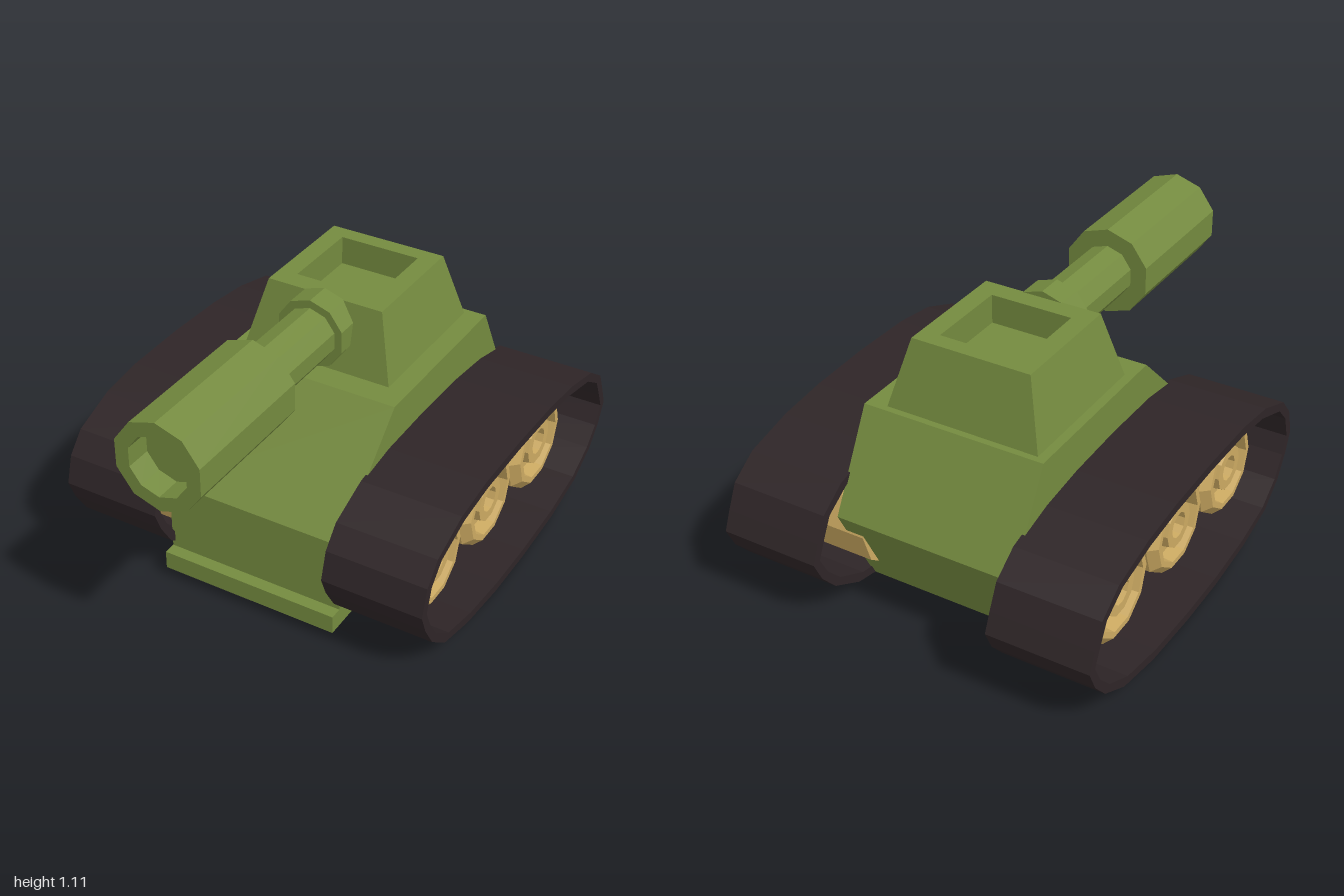
import * as THREE from 'three';

const paint = (color) => new THREE.MeshStandardMaterial({ color, flatShading: true });
const V = (a) => a.map(([x, y]) => new THREE.Vector2(x, y));

// Extrudes a side profile of [z, y] points across the width x0..x1
function sideExtrude(outline, x0, x1, hole) {
  const shape = new THREE.Shape(V(outline));
  if (hole) shape.holes.push(new THREE.Path(V(hole)));
  const geo = new THREE.ExtrudeGeometry(shape, { depth: x1 - x0, bevelEnabled: false });
  return geo.rotateY(-Math.PI / 2).translate(x1, 0, 0);
}

// Joins rectangles [x0, x1, z0, z1, y] from bottom to top, and caps the last
function rectLoft(rects) {
  const loops = rects.map(([x0, x1, z0, z1, y]) => [[x0, y, z1], [x1, y, z1], [x1, y, z0], [x0, y, z0]]);
  const pos = [];
  const quad = (a, b, c, d) => pos.push(...a, ...b, ...c, ...a, ...c, ...d);
  for (let i = 0; i + 1 < loops.length; i++) {
    for (let k = 0; k < 4; k++) {
      const n = (k + 1) % 4;
      quad(loops[i][k], loops[i][n], loops[i + 1][n], loops[i + 1][k]);
    }
  }
  quad(...loops[loops.length - 1]);
  const geo = new THREE.BufferGeometry();
  geo.setAttribute('position', new THREE.Float32BufferAttribute(pos, 3));
  geo.computeVertexNormals();
  return geo;
}

export function createModel() {
  const model = new THREE.Group();
  const green = paint(0x748a3f), tan = paint(0xccaa62), dark = paint(0x2e2527);
  const add = (name, geo, mat, parent = model) => {
    const mesh = new THREE.Mesh(geo, mat);
    mesh.name = name;
    parent.add(mesh);
    return mesh;
  };

  // Hull with sloped front and back, and a small lip at the front foot
  add('hull', sideExtrude([
    [-0.65, 0.04], [0.54, 0.04], [0.54, 0.115], [0.49, 0.115], [0.49, 0.41],
    [0.105, 0.78], [-0.635, 0.78], [-0.835, 0.41],
  ], -0.37, 0.364), green);

  // Tapered turret with an open square hatch
  add('turret', rectLoft([
    [-0.335, 0.285, -0.61, 0.005, 0.775],
    [-0.265, 0.215, -0.54, -0.06, 1.045],
    [-0.19, 0.14, -0.475, -0.14, 1.045],
    [-0.19, 0.14, -0.475, -0.14, 0.93],
  ]), green);

  // Ten-sided gun: collar, barrel and hollow muzzle, profiles as [radius, z]
  const gun = new THREE.Group();
  gun.name = 'gun';
  gun.position.set(-0.027, 0.931, 0);
  model.add(gun);
  const gunPart = (name, profile) =>
    add(name, new THREE.LatheGeometry(V(profile), 10).rotateX(Math.PI / 2), green, gun);
  gunPart('gunCollar', [[0, -0.065], [0.14, -0.065], [0.14, 0.04], [0, 0.04]]);
  gunPart('gunBarrel', [[0.108, 0], [0.108, 0.45]]);
  gunPart('gunMuzzle', [[0, 0.42], [0.177, 0.42], [0.177, 1], [0.12, 1], [0.12, 0.9], [0, 0.9]]);

  // Track belt: outer outline as [z, y], the inner one shrunk about its centre
  const belt = [
    [0.607, 0.335], [0.575, 0.445], [0.505, 0.525], [0.33, 0.593], [0.14, 0.619], [-0.137, 0.624],
    [-0.405, 0.615], [-0.61, 0.593], [-0.81, 0.545], [-0.92, 0.47], [-0.965, 0.375], [-0.997, 0.3],
    [-0.957, 0.215], [-0.887, 0.135], [-0.75, 0.06], [-0.53, 0.016], [-0.26, 0], [-0.02, 0.002],
    [0.22, 0.027], [0.41, 0.075], [0.517, 0.16], [0.575, 0.255],
  ];
  const beltInner = belt.map(([z, y]) => [-0.195 + (z + 0.195) * 0.956, 0.312 + (y - 0.312) * 0.885]);

  // Wheel: drum, chamfered rim, sunken disc and hollow hub, as [radius, distance from the middle]
  const wheelProfile = V([
    [0, 0.29], [0.2, 0.29], [0.2, 0.62], [0.168, 0.655], [0.145, 0.655], [0.14, 0.6],
    [0.098, 0.6], [0.09, 0.65], [0.052, 0.65], [0.05, 0.6], [0, 0.6],
  ]);
  const wheels = [['frontWheel', 0.28, 1], ['middleWheel', -0.143, 1], ['rearWheel', -0.582, 1.06]];

  for (const [side, sign] of [['left', 1], ['right', -1]]) {
    const running = new THREE.Group();
    running.name = side + 'RunningGear';
    model.add(running);
    const [x0, x1] = sign > 0 ? [0.356, 0.756] : [-0.76, -0.358];
    add(side + 'Track', sideExtrude(belt, x0, x1, beltInner), dark, running);
    for (const [name, z, size] of wheels) {
      const geo = new THREE.LatheGeometry(wheelProfile, 10).rotateZ(-sign * Math.PI / 2);
      const wheel = add(name, geo, tan, running);
      wheel.position.set(0, 0.315, z);
      wheel.scale.set(1, size, size);
    }
  }
  return model;
}
